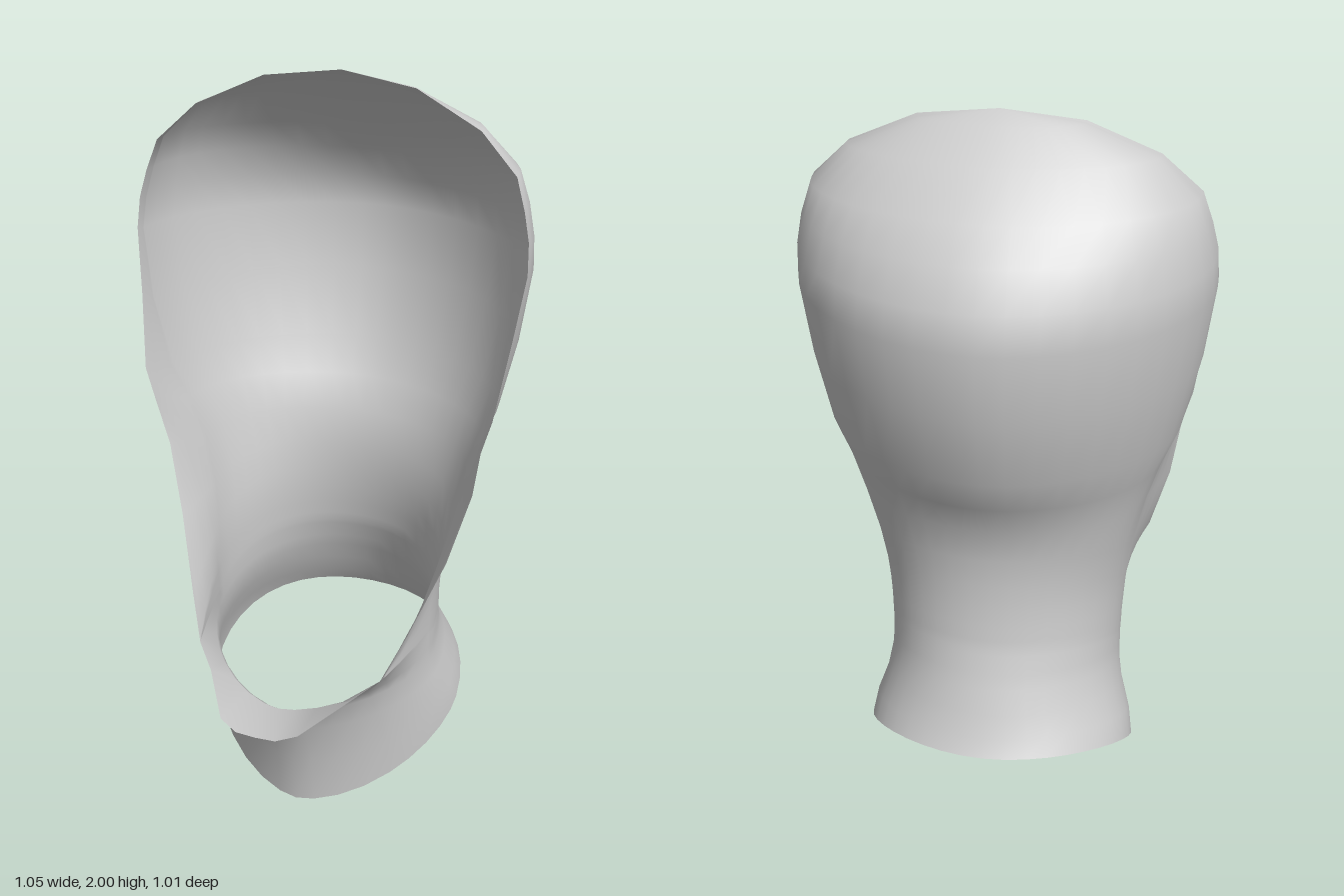
import * as THREE from 'three';
import { mergeVertices } from 'three/addons/utils/BufferGeometryUtils.js';

// Matching stations from the neck hem up to the crown.
// Centre line of the back: [y, z]
const back = [
  [0.345, -0.437], [0.39, -0.41], [0.45, -0.385], [0.51, -0.36], [0.55, -0.345], [0.6, -0.33], [0.615, -0.325],
  [0.64, -0.32], [0.68, -0.315], [0.73, -0.308], [0.8, -0.305], [0.88, -0.307], [0.98, -0.325], [1.07, -0.375],
  [1.17, -0.43], [1.36, -0.485], [1.54, -0.503], [1.63, -0.482], [1.72, -0.43], [1.8, -0.365], [1.9, -0.262],
  [1.97, -0.17], [2, -0.125],
];
// Widest line of the side: [x, y, z]
const side = [
  [0.37, 0.22, -0.11], [0.358, 0.29, -0.08], [0.333, 0.36, -0.05], [0.322, 0.42, -0.03], [0.32, 0.46, -0.02],
  [0.32, 0.5, -0.02], [0.32, 0.515, -0.02], [0.321, 0.54, -0.02], [0.322, 0.58, -0.02], [0.325, 0.63, -0.02],
  [0.33, 0.7, -0.03], [0.345, 0.82, -0.05], [0.375, 0.96, -0.06], [0.415, 1.08, -0.05], [0.457, 1.18, -0.04],
  [0.5, 1.37, -0.03], [0.524, 1.56, -0.04], [0.518, 1.64, -0.055], [0.5, 1.72, -0.07], [0.472, 1.8, -0.08],
  [0.375, 1.895, -0.095], [0.2, 1.972, -0.115], [0, 2, -0.125],
];
// Front seam up to the chin lip, then along the rim of the face opening: [x, y, z]
const front = [
  [0, 0, 0.225], [0, 0.15, 0.24], [0, 0.29, 0.28], [0, 0.37, 0.315], [0, 0.4, 0.35],
  [0, 0.415, 0.505], [0.055, 0.418, 0.505], [0.108, 0.43, 0.48], [0.2, 0.465, 0.335], [0.26, 0.5, 0.27],
  [0.31, 0.61, 0.2], [0.38, 0.79, 0.1], [0.43, 0.98, 0.056], [0.453, 1.12, 0.082], [0.478, 1.21, 0.082],
  [0.503, 1.4, 0.03], [0.524, 1.57, -0.005], [0.519, 1.65, -0.018], [0.502, 1.72, -0.03], [0.475, 1.8, -0.045],
  [0.375, 1.895, -0.073], [0.2, 1.975, -0.105], [0, 2, -0.125],
];

const LIP = 5; // station of the lip tip
const CORNER = 9; // station where the lip meets the cheek
const HEAD = 13; // first station above the neck
const BACK_STEPS = 10;
const CHEEK_STEPS = 5;
const LIP_STEPS = CORNER - LIP;
const lerp = THREE.MathUtils.lerp;

// Quarter turn, t from 0 to 1: power 1 is round, power 2 is straight
const quarter = (t, power) => [Math.sin, Math.cos].map((f) => Math.max(0, f(t * Math.PI / 2)) ** power);

// Curve from the side to a point at the front
function sideToFront([xs, ys, zs], [xf, yf, zf], t, power) {
  const [s, c] = quarter(t, power);
  return [lerp(xf, xs, c), lerp(ys, yf, s), lerp(zs, zf, s)];
}

// Half a cross-section, from the back centre round the side to the front
function halfRow(i) {
  const [yb, zb] = back[i], [xs, ys, zs] = side[i];
  const points = [];
  for (let k = 0; k <= BACK_STEPS; k++) {
    const [s, c] = quarter(k / BACK_STEPS, i < HEAD ? 1 : 1.1);
    points.push([xs * s, lerp(yb, ys, (1 - c) ** 1.5), lerp(zb, zs, 1 - c)]);
  }
  // Below the lip the neck closes at the seam; above it the row stops at the rim
  const closed = i < LIP;
  for (let k = 1; k <= CHEEK_STEPS; k++) {
    const t = k / CHEEK_STEPS;
    points.push(closed
      ? sideToFront(side[i], front[i], t / 2, 1.2)
      : sideToFront(side[i], front[Math.max(i, CORNER)], t, 1.8));
  }
  // Rows at the lip share its rim points, so the lip tapers to a spout
  for (let k = 1; k <= LIP_STEPS; k++) {
    points.push(closed
      ? sideToFront(side[i], front[i], 0.5 + k / LIP_STEPS / 2, 1.2)
      : front[Math.max(i, CORNER - k)]);
  }
  return points;
}

function hoodGeometry() {
  const positions = [], index = [];
  const width = 2 * (BACK_STEPS + CHEEK_STEPS + LIP_STEPS) + 1;
  for (let i = 0; i < back.length; i++) {
    const half = halfRow(i);
    const mirrored = half.slice(1).reverse().map(([x, y, z]) => [-x, y, z]);
    positions.push(...[...mirrored, ...half].flat());
    if (i === back.length - 1) continue;
    for (let k = 0; k < width - 1; k++) {
      const a = i * width + k, b = a + width;
      index.push(a, b, a + 1, a + 1, b, b + 1);
    }
  }
  const geometry = new THREE.BufferGeometry();
  geometry.setAttribute('position', new THREE.Float32BufferAttribute(positions, 3));
  geometry.setIndex(index);
  // Weld the front seam, lip and crown so the shading stays smooth
  const welded = mergeVertices(geometry, 1e-4);
  welded.computeVertexNormals();
  return welded;
}

export function createModel() {
  const model = new THREE.Group();
  model.name = 'hood';
  const material = new THREE.MeshStandardMaterial({ color: 0xcccccc, side: THREE.DoubleSide });
  // Open cloth shell: neck band, chin lip, sides and crown in one piece
  const shell = new THREE.Mesh(hoodGeometry(), material);
  shell.name = 'hoodShell';
  model.add(shell);
  return model;
}
